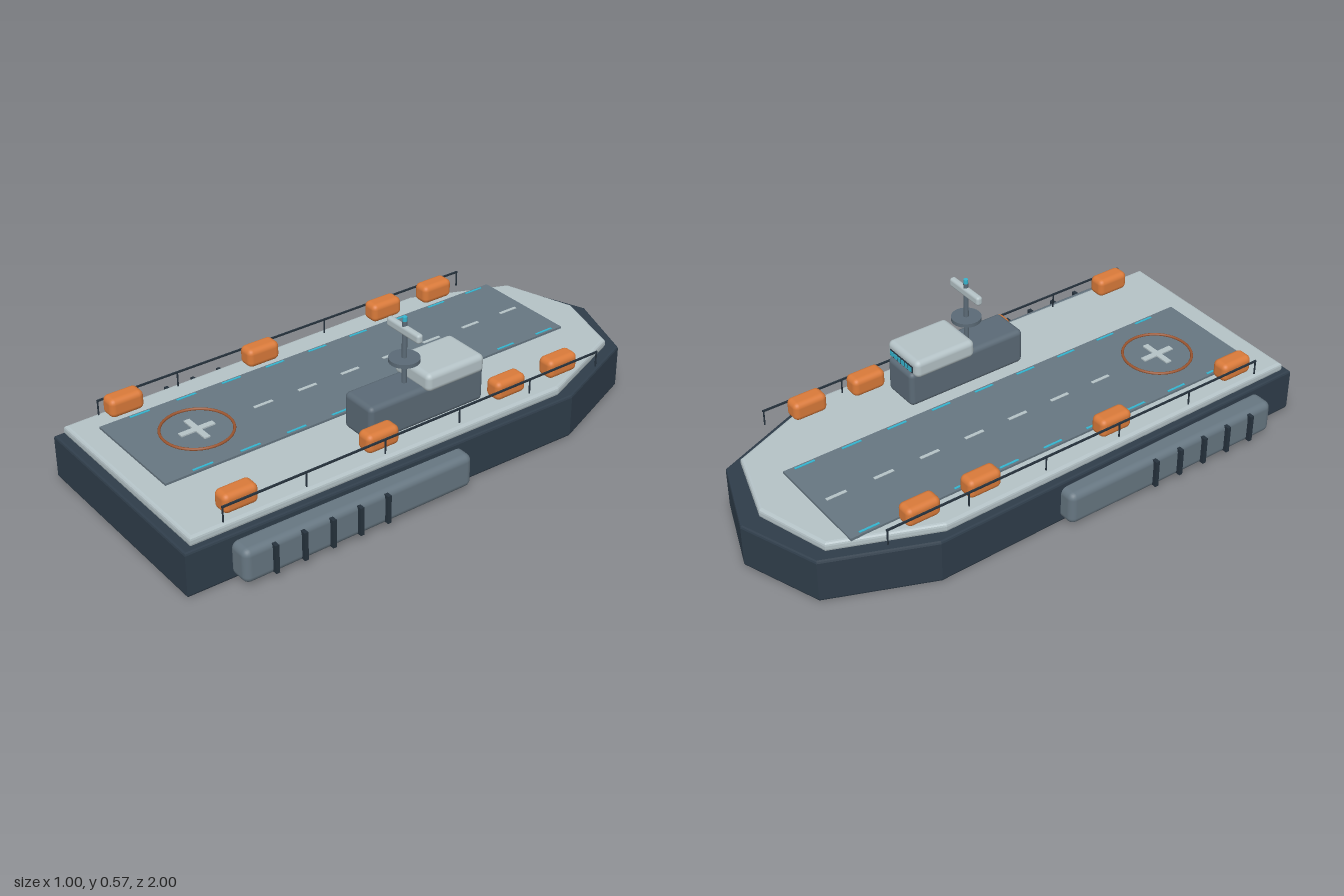
import * as THREE from 'three';
import { RoundedBoxGeometry } from 'three/addons/geometries/RoundedBoxGeometry.js';

const paint = (color) => new THREE.MeshStandardMaterial({ color });

export function createModel() {
  const navy = paint(0x2f3d4a), pale = paint(0xb4c2c6), slate = paint(0x667681), steel = paint(0x5b6a76);
  const orange = paint(0xd97a3a), rust = paint(0x9a5530), cyan = paint(0x35b5cf), dark = paint(0x26323d);
  const model = new THREE.Group();
  model.name = 'carrier';

  const add = (name, geometry, material, x = 0, y = 0, z = 0, parent = model) => {
    const mesh = new THREE.Mesh(geometry, material);
    mesh.name = name;
    mesh.position.set(x, y, z);
    parent.add(mesh);
    return mesh;
  };
  const box = (w, h, d) => new THREE.BoxGeometry(w, h, d);
  const rounded = (w, h, d, r) => new RoundedBoxGeometry(w, h, d, 3, r);
  const group = (name) => {
    const g = new THREE.Group();
    g.name = name;
    model.add(g);
    return g;
  };

  // Bevelled slab from half an outline [x, z], running bow to stern
  const slab = (half, y0, y1, bevel, segments) => {
    const mirrored = half.filter(([x]) => x > 0).map(([x, z]) => [-x, z]).reverse();
    const shape = new THREE.Shape([...half, ...mirrored].map(([x, z]) => new THREE.Vector2(x, -z)));
    const g = new THREE.ExtrudeGeometry(shape, {
      depth: y1 - y0 - 2 * bevel, bevelEnabled: true, bevelSize: bevel,
      bevelThickness: bevel, bevelOffset: -bevel, bevelSegments: segments,
    });
    return g.rotateX(-Math.PI / 2).translate(0, y0 + bevel, 0);
  };

  // Hull and flight deck
  add('hull', slab([[0, -1], [0.287, -0.894], [0.437, -0.53], [0.407, 1]], 0, 0.163, 0.008, 2), navy);
  add('deck', slab([[0, -0.93], [0.265, -0.848], [0.41, -0.49], [0.39, 0.97]], 0.163, 0.199, 0.012, 3), pale);

  // Runway with dashed markings
  const runwayX = -0.095;
  add('runway', box(0.412, 0.01, 1.66), slate, runwayX, 0.202, 0.055);
  const markings = group('runwayMarkings');
  for (let i = 0; i < 9; i++) {
    const z = -0.7 + i * 0.18;
    if (Math.abs(z - 0.64) > 0.11) add('centreDash', box(0.012, 0.004, 0.075), pale, runwayX, 0.207, z, markings);
    for (const s of [-1, 1]) add('edgeDash', box(0.008, 0.004, 0.075), cyan, runwayX + s * 0.195, 0.207, z, markings);
  }

  // Landing circle and cross
  add('landingRing', new THREE.TorusGeometry(0.123, 0.005, 8, 48).rotateX(Math.PI / 2), rust, runwayX, 0.21, 0.64);
  add('landingCrossLong', box(0.022, 0.006, 0.13), pale, runwayX, 0.209, 0.64);
  add('landingCrossWide', box(0.13, 0.006, 0.022), pale, runwayX, 0.209, 0.64);

  for (const side of [-1, 1]) {
    // Side sponsons with upright fenders
    const sponson = group(side > 0 ? 'leftSponson' : 'rightSponson');
    add('sponsonBody', rounded(0.09, 0.125, 0.89, 0.025), slate, side * 0.44, 0.078, 0.395, sponson);
    for (let i = 0; i < 5; i++) {
      add('fender', box(0.024, 0.104, 0.014), dark, side * 0.488, 0.08, 0.305 + i * 0.107, sponson);
    }

    // Lifeboat pods
    for (const z of [-0.545, -0.31, 0.228, 0.77]) {
      add('lifeboat', rounded(0.067, 0.07, 0.128, 0.02), orange, side * 0.34, 0.243, z);
    }

    // Railing
    const railing = group(side > 0 ? 'leftRailing' : 'rightRailing');
    add('rail', box(0.006, 0.006, 1.541), dark, side * 0.379, 0.253, 0.077, railing);
    for (let i = 0; i < 6; i++) {
      add('railPost', new THREE.CylinderGeometry(0.003, 0.003, 0.058, 8), dark, side * 0.379, 0.225, 0.845 - i * 0.307, railing);
    }
  }

  // Island and bridge
  const island = group('island');
  add('islandBase', rounded(0.145, 0.135, 0.474, 0.018), steel, 0.237, 0.263, 0, island);
  add('bridge', rounded(0.184, 0.068, 0.242, 0.02), pale, 0.237, 0.35, -0.103, island);
  add('windowFrame', box(0.136, 0.024, 0.008), dark, 0.237, 0.347, -0.224, island);
  for (let i = 0; i < 6; i++) {
    add('bridgeWindow', box(0.017, 0.018, 0.006), cyan, 0.182 + i * 0.022, 0.347, -0.227, island);
  }

  // Mast, platform, radar bar and beacon
  const mast = group('mast');
  mast.position.set(0.237, 0, 0.045);
  add('mastPole', new THREE.CylinderGeometry(0.009, 0.009, 0.235, 16), steel, 0, 0.4325, 0, mast);
  add('mastPlatform', new THREE.CylinderGeometry(0.053, 0.053, 0.014, 32), steel, 0, 0.418, 0, mast);
  add('radarBar', rounded(0.168, 0.034, 0.024, 0.01), pale, 0, 0.526, 0, mast);
  add('beaconBase', new THREE.CylinderGeometry(0.009, 0.009, 0.02, 16), steel, 0, 0.548, 0, mast);
  add('beacon', new THREE.CylinderGeometry(0.008, 0.008, 0.016, 16), cyan, 0, 0.566, 0, mast);

  return model;
}
